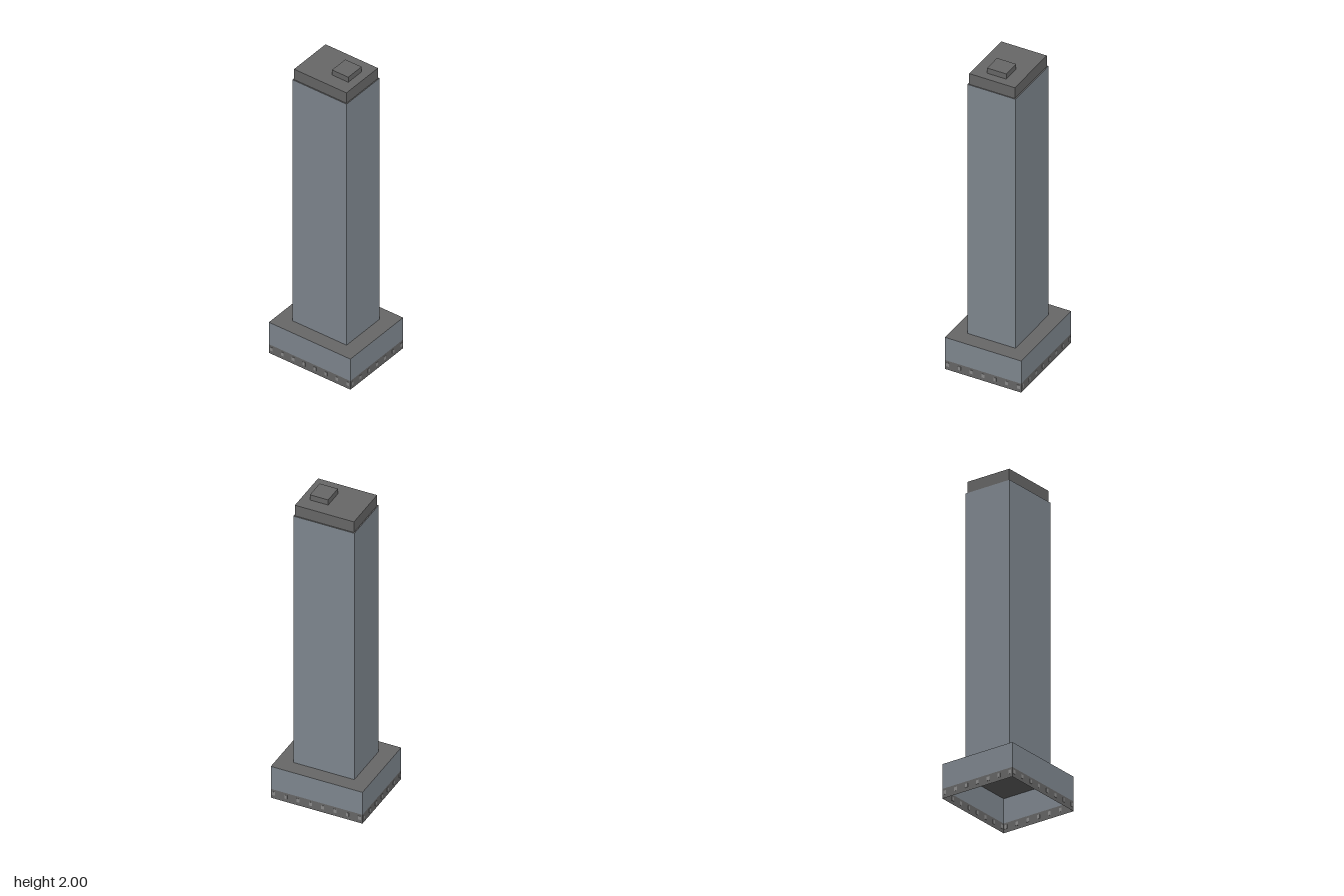
import * as THREE from 'three';

const glass = new THREE.MeshStandardMaterial({ name: 'blueGreyFacade', color: 0x808890, side: THREE.DoubleSide });
const dark = new THREE.MeshStandardMaterial({ name: 'darkGrey', color: 0x676767, side: THREE.DoubleSide });
const light = new THREE.MeshStandardMaterial({ name: 'paleGrey', color: 0x8c8c8c });

// Box from y0 to y1 without the faces listed in skip (2 = top, 3 = bottom)
function box(name, w, d, y0, y1, material, skip = [], x = 0, z = 0) {
  const g = new THREE.BoxGeometry(w, y1 - y0, d);
  g.setIndex([...g.index.array].filter((_, i) => !skip.includes(Math.floor(i / 6))));
  g.clearGroups();
  const m = new THREE.Mesh(g, material);
  m.name = name;
  m.position.set(x, (y0 + y1) / 2, z);
  return m;
}

// Flat horizontal roof sheet
function roof(name, w, d, y) {
  const m = new THREE.Mesh(new THREE.PlaneGeometry(w, d).rotateX(-Math.PI / 2), dark);
  m.name = name;
  m.position.y = y;
  return m;
}

export function createModel() {
  const model = new THREE.Group();
  model.name = 'towerBlock';
  const W = 0.572, D = 0.488, walls = [2, 3];

  // Podium, hollow and open underneath
  model.add(
    box('groundFloorBand', W, D, 0, 0.06, dark, walls),
    box('podiumWalls', W, D, 0.06, 0.213, glass, walls),
    roof('podiumRoof', W, D, 0.213)
  );

  // Tower shaft
  model.add(
    box('towerWalls', 0.38, 0.306, 0.213, 1.893, glass, walls),
    roof('towerRoof', 0.38, 0.306, 1.893)
  );

  // Rooftop plant storey and offset lift housing
  model.add(
    box('plantStorey', 0.368, 0.292, 1.893, 1.965, dark, [3]),
    box('liftHousing', 0.114, 0.123, 1.965, 2, dark, [3], 0.075, -0.001)
  );

  // Small ground floor windows, showing on both sides of the thin walls
  const windows = new THREE.Group();
  windows.name = 'groundFloorWindows';
  for (const s of [-1, 1]) {
    for (let i = 0; i < 8; i++)
      windows.add(box('window', 0.018, 0.004, 0.022, 0.046, light, [], (i - 3.5) * 0.0767, s * D / 2));
    for (let i = 0; i < 7; i++)
      windows.add(box('window', 0.004, 0.018, 0.022, 0.046, light, [], s * W / 2, (i - 3) * 0.0757));
  }
  model.add(windows);
  return model;
}
